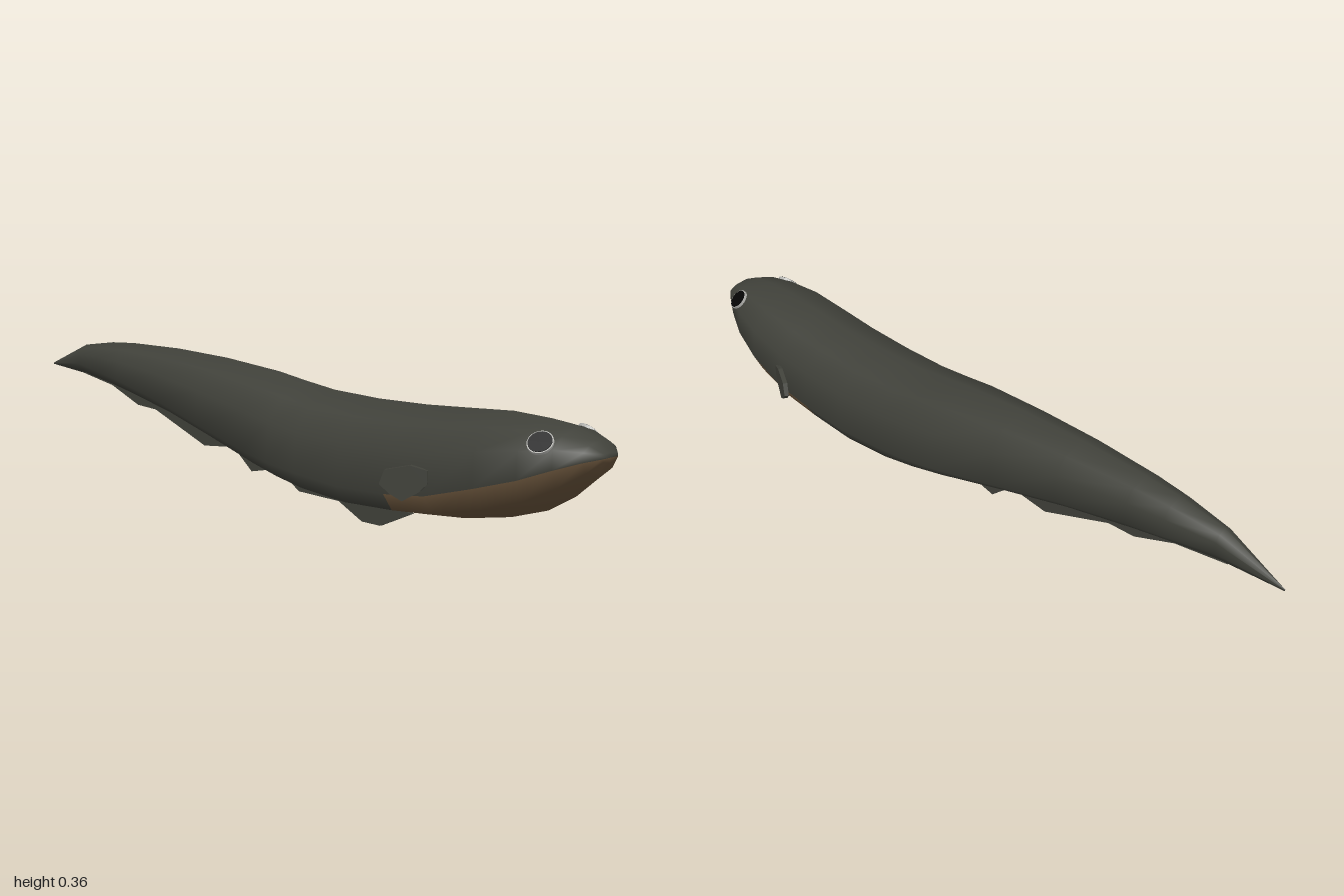
import * as THREE from 'three';

const material = (name, color, extra = {}) => {
  const m = new THREE.MeshStandardMaterial({ color, ...extra });
  m.name = name;
  return m;
};

// Stations from nose to tail: z, half width, top, seam and bottom heights
const STATIONS = [
  [1.0, 0.03, 0.268, 0.257, 0.246],
  [0.975, 0.06, 0.29, 0.25, 0.21],
  [0.92, 0.09, 0.312, 0.23, 0.162],
  [0.85, 0.118, 0.322, 0.202, 0.12],
  [0.75, 0.14, 0.326, 0.172, 0.088],
  [0.62, 0.148, 0.318, 0.136, 0.063],
  [0.5, 0.147, 0.311, 0.122, 0.052],
  [0.35, 0.147, 0.308, 0.116, 0.046],
  [0.2, 0.142, 0.313, 0.125, 0.055],
  [0.1, 0.138, 0.325, 0.135, 0.07],
  [0.0, 0.132, 0.339, 0.152, 0.087],
  [-0.2, 0.11, 0.355, 0.19, 0.127],
  [-0.4, 0.088, 0.362, 0.23, 0.172],
  [-0.6, 0.064, 0.36, 0.26, 0.213],
  [-0.7, 0.05, 0.354, 0.27, 0.231],
  [-0.83, 0.029, 0.336, 0.282, 0.25],
  [-1.0, 0.001, 0.267, 0.265, 0.263],
];
const SIDES = 10;

// Ten-sided section, clockwise seen from the front
function section([z, w, top, seam, bottom]) {
  const keel = THREE.MathUtils.lerp(0.5, 0.8, THREE.MathUtils.smoothstep(z, -0.4, 0.3));
  const half = [
    [0, top],
    [0.63 * w, top - 0.17 * (top - seam)],
    [0.96 * w, seam + 0.52 * (top - seam)],
    [w, seam],
    [keel * w, bottom + 0.4 * (seam - bottom)],
    [0, bottom],
  ];
  const mirrored = half.slice(1, 5).reverse().map(([x, y]) => [-x, y]);
  return [...half, ...mirrored].map(([x, y]) => [x, y, z]);
}

function bodyGeometry() {
  const positions = STATIONS.flatMap(section).flat();
  const skin = [], belly = [];
  for (let i = 0; i < STATIONS.length - 1; i++) {
    const z = STATIONS[i][0];
    for (let j = 0; j < SIDES; j++) {
      const k = (j + 1) % SIDES;
      const a = i * SIDES + j, b = i * SIDES + k;
      const c = b + SIDES, d = a + SIDES;
      // Pale throat below the seam, narrowing to the lowest strips behind the head
      const pale = (z > 0.5 && j >= 3 && j <= 6) || (z > 0.35 && (j === 4 || j === 5));
      (pale ? belly : skin).push(a, b, d, b, c, d);
    }
  }
  // Nose cap
  const centre = positions.length / 3;
  positions.push(0, 0.257, 1.0);
  for (let j = 0; j < SIDES; j++) {
    const pale = j >= 3 && j <= 6;
    (pale ? belly : skin).push(centre, (j + 1) % SIDES, j);
  }
  const g = new THREE.BufferGeometry();
  g.setAttribute('position', new THREE.Float32BufferAttribute(positions, 3));
  g.setIndex([...skin, ...belly]);
  g.addGroup(0, skin.length, 0);
  g.addGroup(skin.length, belly.length, 1);
  g.computeVertexNormals();
  return g;
}

// Thin flat fin cut from an outline
function finGeometry(points, depth) {
  const shape = new THREE.Shape(points.map(([x, y]) => new THREE.Vector2(x, y)));
  return new THREE.ExtrudeGeometry(shape, { depth, bevelEnabled: false }).translate(0, 0, -depth / 2);
}

export function createModel() {
  const model = new THREE.Group();
  model.name = 'eel';
  const skin = material('dark olive skin', 0x40413a);
  const pale = material('brown throat', 0x67523a);
  const black = material('black pupil', 0x050505);
  const rim = material('grey eye rim', 0xb4b4b0);

  const add = (name, geometry, mat, parent = model) => {
    const mesh = new THREE.Mesh(geometry, mat);
    mesh.name = name;
    parent.add(mesh);
    return mesh;
  };

  const body = add('body', bodyGeometry(), [skin, pale]);

  // Ragged fin along the underside: distance towards the tail, height
  const ventral = [
    [-0.46, 0.046], [-0.36, 0.0], [-0.3, 0.0], [-0.22, 0.038], [-0.08, 0.04],
    [0.0, 0.086], [0.1, 0.065], [0.17, 0.12], [0.29, 0.108], [0.5, 0.182],
    [0.58, 0.186], [0.7, 0.23], [0.85, 0.254], [0.7, 0.25], [0.4, 0.19],
    [0.2, 0.145], [0, 0.105], [-0.2, 0.07], [-0.4, 0.06],
  ];
  add('bellyFin', finGeometry(ventral, 0.011), skin).rotation.y = Math.PI / 2;

  // Side fin: distance outwards from its root, height
  const pectoral = [
    [0, 0.165], [0.02, 0.145], [0.058, 0.122], [0.088, 0.137], [0.112, 0.157],
    [0.1, 0.19], [0.04, 0.204], [0, 0.195],
  ];
  const ray = new THREE.Raycaster();
  for (const s of [1, -1]) {
    const side = s > 0 ? 'left' : 'right';
    const fin = add(side + 'SideFin', finGeometry(pectoral, 0.012), skin);
    fin.position.set(s * 0.143, 0, 0.63);
    fin.rotation.y = s > 0 ? 1.15 : Math.PI - 1.15;

    // Eye disc laid on the head surface
    ray.set(new THREE.Vector3(s * 0.4, 0.282, 0.886), new THREE.Vector3(-s, 0, 0));
    const hit = ray.intersectObject(body)[0];
    const eye = new THREE.Group();
    eye.name = side + 'Eye';
    eye.position.copy(hit.point).addScaledVector(hit.face.normal, 0.003);
    eye.quaternion.setFromUnitVectors(new THREE.Vector3(0, 1, 0), hit.face.normal);
    add('eyeRim', new THREE.CylinderGeometry(0.029, 0.029, 0.007, 20), rim, eye);
    add('pupil', new THREE.CylinderGeometry(0.0265, 0.0265, 0.0095, 20), black, eye);
    model.add(eye);
  }
  return model;
}
